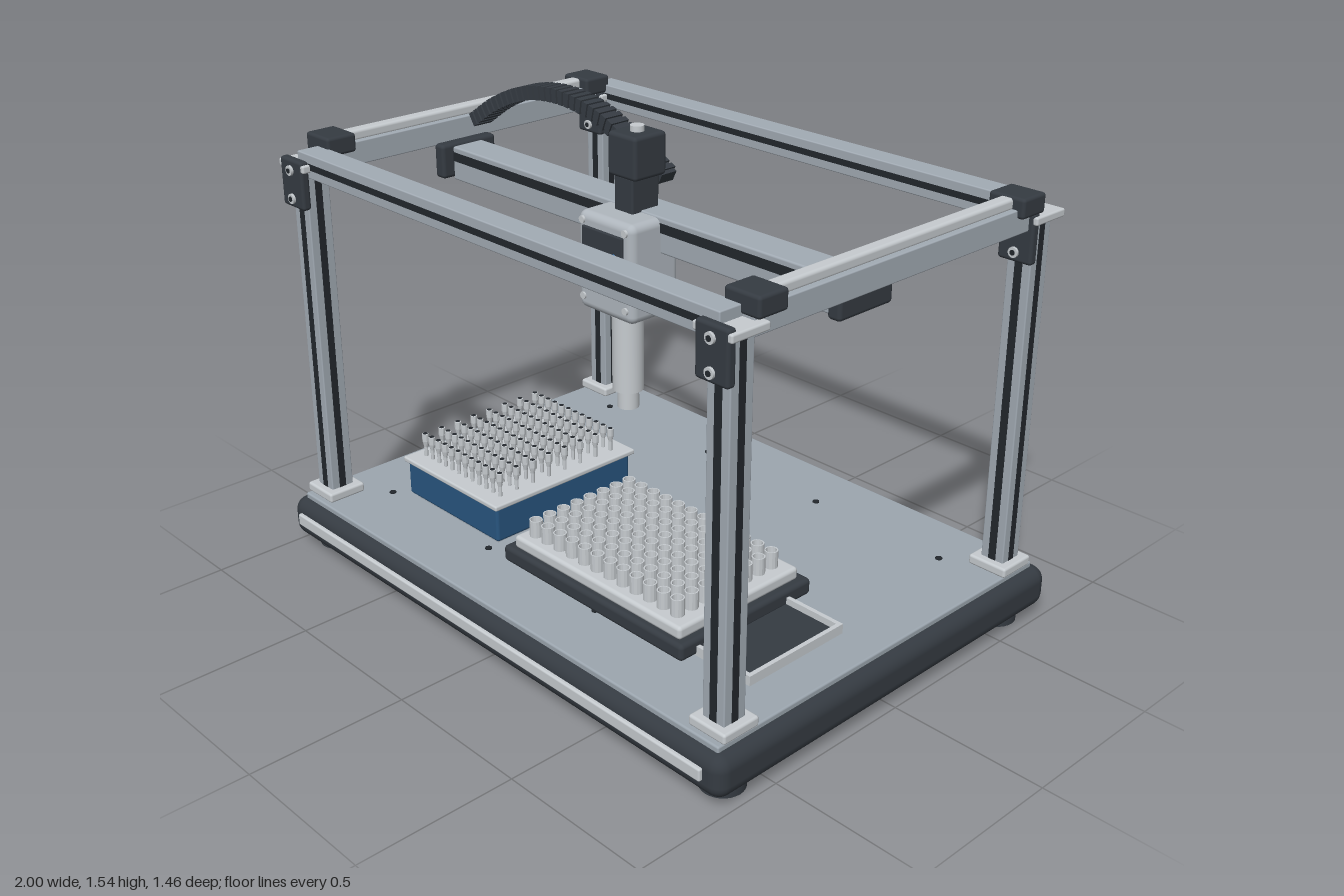
import * as THREE from 'three';
import { mergeGeometries } from 'three/addons/utils/BufferGeometryUtils.js';
import { RoundedBoxGeometry } from 'three/addons/geometries/RoundedBoxGeometry.js';

const mat = (name, color) => Object.assign(new THREE.MeshStandardMaterial({ color }), { name });

export function createModel() {
  const dark = mat('dark plastic', 0x353b42);
  const black = mat('black groove', 0x22272c);
  const metal = mat('aluminium', 0xa2abb4);
  const deckGrey = mat('deck grey', 0x9ca6af);
  const light = mat('light metal', 0xc6cbcf);
  const body = mat('head grey', 0xb0b7be);
  const blue = mat('rack blue', 0x28557f);
  const accent = mat('accent blue', 0x2f7fd0);

  const model = new THREE.Group();
  model.name = 'liquidHandlingRobot';
  const add = (name, geo, material) => {
    const m = new THREE.Mesh(geo, material);
    m.name = name;
    model.add(m);
    return m;
  };
  // Box given by its limits on each axis, rounded when r > 0
  const box = (name, material, x0, x1, y0, y1, z0, z1, r = 0) => {
    const s = [x1 - x0, y1 - y0, z1 - z0];
    const g = r ? new RoundedBoxGeometry(...s, 3, r) : new THREE.BoxGeometry(...s);
    return add(name, g.translate((x0 + x1) / 2, (y0 + y1) / 2, (z0 + z1) / 2), material);
  };
  const cyl = (name, material, x, y0, y1, z, r0, r1 = r0, n = 28) =>
    add(name, new THREE.CylinderGeometry(r1, r0, y1 - y0, n).translate(x, (y0 + y1) / 2, z), material);
  // Screw head facing the front
  const screw = (x, y, z, r, material = light) =>
    add('screw', new THREE.CylinderGeometry(r, r, 0.012, 14).rotateX(Math.PI / 2).translate(x, y, z), material);
  // One geometry repeated over a grid of positions
  const grid = (name, geo, material, nx, nz, x0, z0, dx, dz, y) => {
    const list = [];
    for (let i = 0; i < nx; i++)
      for (let j = 0; j < nz; j++) list.push(geo.clone().translate(x0 + i * dx, y, z0 + j * dz));
    return add(name, mergeGeometries(list), material);
  };

  // Base, deck and front strip
  box('base', dark, -1, 1, 0.035, 0.17, -0.73, 0.718, 0.045);
  box('deck', deckGrey, -0.96, 0.96, 0.16, 0.186, -0.69, 0.683, 0.006);
  box('frontStrip', light, -0.945, 0.938, 0.088, 0.128, 0.71, 0.73, 0.006);
  for (const x of [-0.76, -0.25, 0.25, 0.755])
    for (const z of [-0.495, 0.475]) cyl('deckScrew', black, x, 0.18, 0.19, z, 0.011, 0.011, 12);

  // Corner columns with feet, mounting plates and brackets
  for (const x of [-0.9, 0.9]) {
    for (const z of [-0.605, 0.602]) {
      cyl('foot', dark, x, 0, 0.05, z, 0.066);
      box('column', metal, x - 0.04, x + 0.04, 0.2, 1.32, z - 0.04, z + 0.04, 0.004);
      box('columnFrontGroove', black, x - 0.013, x + 0.013, 0.215, 1.31, z + 0.036, z + 0.041);
      box('columnSideGroove', black, x + 0.036, x + 0.041, 0.215, 1.31, z - 0.012, z + 0.012);
      box('columnBasePlate', light, x - 0.067, x + 0.067, 0.186, 0.218, z - 0.066, z + 0.066, 0.008);
      box('columnTopPlate', light, x - 0.067, x + 0.067, 1.31, 1.335, z - 0.066, z + 0.066, 0.006);
      box('cornerBracket', dark, x - 0.057, x + 0.057, 1.19, 1.345, z + 0.038, z + 0.068, 0.01);
      for (const y of [1.22, 1.31]) {
        screw(x, y, z + 0.07, 0.016);
        screw(x, y, z + 0.073, 0.008, black);
      }
    }
    // Side rail, linear guide and guide clamps
    box('sideRail', metal, x - 0.04, x + 0.04, 1.29, 1.365, -0.565, 0.565, 0.004);
    box('linearGuide', light, x - 0.022, x + 0.022, 1.36, 1.395, -0.57, 0.56, 0.01);
    for (const z of [-0.53, 0.518])
      box('guideClamp', dark, x - 0.06, x + 0.06, 1.34, 1.4, z - 0.052, z + 0.052, 0.01);
  }
  for (const z of [-0.605, 0.602]) {
    box('crossRail', metal, -0.9, 0.9, 1.29, 1.367, z - 0.04, z + 0.04, 0.004);
    box('crossRailGroove', black, -0.86, 0.86, 1.318, 1.338, z + 0.036, z + 0.041);
  }

  // Moving gantry beam with end carriages
  box('gantryBeam', metal, -0.82, 0.82, 1.18, 1.29, 0, 0.117, 0.006);
  box('gantryGroove', black, -0.815, 0.815, 1.243, 1.272, 0.112, 0.119);
  for (const s of [-1, 1])
    box('endCarriage', dark, s * 0.838 - 0.023, s * 0.838 + 0.023, 1.188, 1.3, -0.055, 0.16, 0.012);

  // Pipette head
  const hx = 0.033;
  box('head', body, hx - 0.117, hx + 0.117, 0.982, 1.285, 0.04, 0.23, 0.025);
  box('headMount', body, hx - 0.08, hx + 0.08, 1.175, 1.24, -0.012, 0.08, 0.01);
  box('display', dark, hx - 0.088, hx + 0.084, 1.062, 1.245, 0.225, 0.238, 0.004);
  box('displayLight', accent, hx + 0.048, hx + 0.056, 1.14, 1.19, 0.236, 0.2405);
  for (const x of [-0.09, 0.09])
    for (const y of [1.025, 1.26]) screw(hx + x, y, 0.23, 0.011);
  cyl('barrel', light, 0.03, 0.725, 0.99, 0.136, 0.048);
  cyl('barrelCollar', light, 0.03, 0.965, 0.985, 0.136, 0.054);
  cyl('nozzle', light, 0.03, 0.665, 0.73, 0.136, 0.033);

  // Drive motor above the head
  box('motor', dark, -0.03, 0.088, 1.385, 1.515, 0.033, 0.158, 0.012);
  box('motorMount', dark, -0.01, 0.068, 1.28, 1.39, 0.045, 0.15, 0.006);
  cyl('motorCap', light, 0.03, 1.51, 1.532, 0.095, 0.021);

  // Arched cable chain made of links
  const path = new THREE.CatmullRomCurve3([
    [-0.825, 1.36], [-0.7, 1.44], [-0.55, 1.5], [-0.39, 1.517], [-0.23, 1.492], [-0.1, 1.435], [0, 1.385], [0.05, 1.36],
  ].map(([x, y]) => new THREE.Vector3(x, y, -0.004)));
  const links = [];
  const count = 34;
  for (let i = 0; i < count * 2; i++) {
    const u = (i + 0.5) / (count * 2), p = path.getPointAt(u), t = path.getTangentAt(u);
    const big = i % 2 === 0;
    links.push(new THREE.BoxGeometry(0.018, big ? 0.044 : 0.034, big ? 0.07 : 0.058)
      .rotateZ(Math.atan2(t.y, t.x)).translate(p.x, p.y, p.z));
  }
  add('cableChain', mergeGeometries(links), dark);

  // Tip rack with 12 x 8 tips
  box('tipRack', blue, -0.7, -0.237, 0.2, 0.32, -0.11, 0.447, 0.01);
  box('tipRackFoot', metal, -0.68, -0.26, 0.185, 0.202, -0.09, 0.43);
  box('tipRackLid', light, -0.708, -0.225, 0.317, 0.335, -0.125, 0.46, 0.006);
  const tip = new THREE.LatheGeometry(
    [[0.006, 0], [0.0065, 0.035], [0.011, 0.055], [0.011, 0.08], [0, 0.08]].map((p) => new THREE.Vector2(...p)), 10).toNonIndexed();
  tip.computeVertexNormals();
  grid('tips', tip, light, 12, 8, -0.66, -0.062, 0.035, 0.0662, 0.334);
  const hole = new THREE.CircleGeometry(0.0085, 10).rotateX(-Math.PI / 2);
  grid('tipOpenings', hole, black, 12, 8, -0.66, -0.062, 0.035, 0.0662, 0.4155);

  // Tube block with 12 x 8 open tubes
  box('tubeBlockBase', dark, -0.163, 0.62, 0.186, 0.24, -0.055, 0.485, 0.014);
  box('tubePlate', light, -0.13, 0.595, 0.238, 0.28, -0.024, 0.467, 0.012);
  const tube = new THREE.LatheGeometry(
    [[0.021, 0], [0.021, 0.056], [0.017, 0.056], [0.015, 0.02], [0, 0.016]].map((p) => new THREE.Vector2(...p)), 14).toNonIndexed();
  tube.computeVertexNormals();
  grid('tubes', tube, light, 12, 8, -0.083, 0.032, 0.0562, 0.055, 0.279);

  // Open tray beside the tube block: dark floor in a light rim
  box('trayFloor', dark, 0.61, 0.82, 0.185, 0.196, 0.045, 0.415);
  box('trayRimSide', light, 0.812, 0.826, 0.186, 0.217, 0.04, 0.425);
  for (const z of [0.04, 0.411]) box('trayRimEnd', light, 0.61, 0.826, 0.186, 0.217, z, z + 0.014);

  return model;
}
